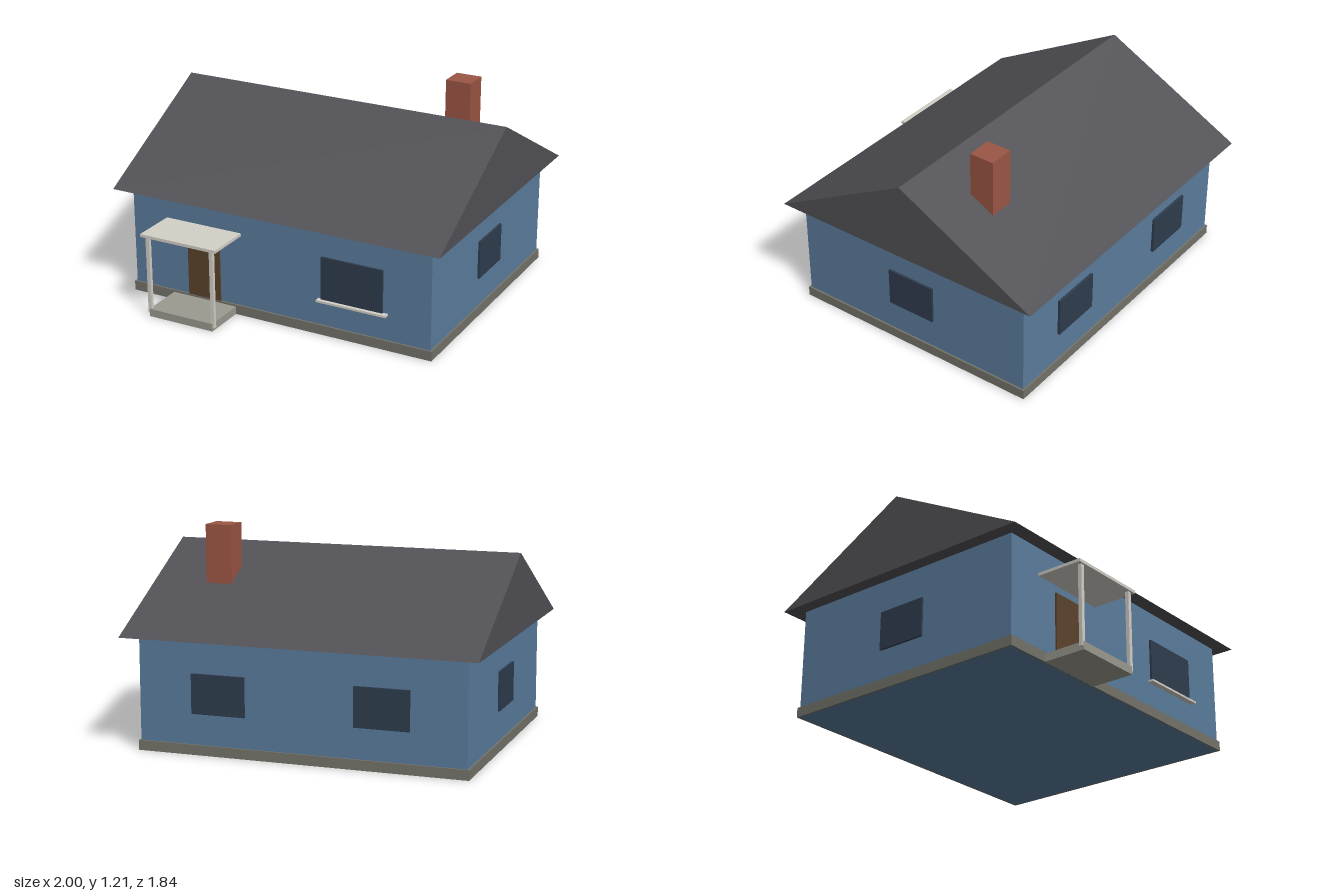
import * as THREE from 'three';

const mat = (name, color) => {
  const m = new THREE.MeshStandardMaterial({ color });
  m.name = name;
  return m;
};

export function createModel() {
  const house = new THREE.Group();
  house.name = 'house';

  const wallBlue = mat('wall blue', 0x5b7d9e);
  const roofGrey = mat('roof grey', 0x525156);
  const brick = mat('chimney brick', 0x9c5644);
  const stone = mat('foundation stone', 0x74736a);
  const concrete = mat('step concrete', 0x9c9a90);
  const trim = mat('trim cream', 0xd3d0c7);
  const wood = mat('door wood', 0x5b432b);
  const glass = mat('window glass', 0x2f3d4e);

  const add = (name, geometry, material) => {
    const mesh = new THREE.Mesh(geometry, material);
    mesh.name = name;
    house.add(mesh);
    return mesh;
  };
  // box given by its limits on each axis
  const box = (name, material, [x0, x1], [y0, y1], [z0, z1]) =>
    add(name, new THREE.BoxGeometry(x1 - x0, y1 - y0, z1 - z0), material)
      .position.set((x0 + x1) / 2, (y0 + y1) / 2, (z0 + z1) / 2);

  // walls
  const W = 0.923, BACK = -0.828, FRONT = 0.656;
  box('walls', wallBlue, [-W, W], [0, 0.64], [BACK, FRONT]);

  // foundation band: a thin ring around the foot of the walls
  const T = 0.011;
  const rect = (Type, x, z0, z1) => new Type([
    new THREE.Vector2(-x, -z1), new THREE.Vector2(x, -z1),
    new THREE.Vector2(x, -z0), new THREE.Vector2(-x, -z0),
  ]);
  const ring = rect(THREE.Shape, W + T, BACK - T, FRONT + T);
  ring.holes.push(rect(THREE.Path, W, BACK, FRONT));
  const band = new THREE.ExtrudeGeometry(ring, { depth: 0.056, bevelEnabled: false });
  add('foundation', band.rotateX(-Math.PI / 2), stone);

  // gable roof: a triangular prism along x
  const gable = new THREE.Shape([
    new THREE.Vector2(-0.742, 0.634),
    new THREE.Vector2(0.922, 0.634),
    new THREE.Vector2(0.09, 1.077),
  ]);
  const prism = new THREE.ExtrudeGeometry(gable, { depth: 2, bevelEnabled: false });
  prism.translate(0, 0, -1).rotateY(Math.PI / 2);
  add('roof', prism, roofGrey);

  // chimney
  box('chimney', brick, [0.538, 0.688], [0.75, 1.206], [-0.458, -0.312]);

  // door, front window and its sill
  box('door', wood, [-0.568, -0.362], [0.045, 0.428], [0.65, 0.665]);
  box('frontWindow', glass, [0.275, 0.643], [0.21, 0.46], [0.65, 0.668]);
  box('windowSill', trim, [0.255, 0.673], [0.2, 0.212], [0.65, 0.689]);

  // side and back windows
  const windowY = [0.228, 0.448];
  for (const s of [-1, 1]) {
    const outer = s * 0.935, inner = s * 0.915;
    box(s > 0 ? 'leftWindow' : 'rightWindow', glass,
      [Math.min(outer, inner), Math.max(outer, inner)], windowY, [-0.234, 0.06]);
    box(s > 0 ? 'backLeftWindow' : 'backRightWindow', glass,
      [s * 0.461 - 0.153, s * 0.461 + 0.153], windowY, [-0.843, -0.82]);
  }

  // porch: step, two posts and a flat canopy
  box('porchStep', concrete, [-0.668, -0.262], [0, 0.045], [0.66, 0.914]);
  for (const x of [-0.667, -0.262]) {
    box('porchPost', trim, [x - 0.011, x + 0.011], [0.02, 0.475], [0.89, 0.911]);
  }
  box('porchCanopy', trim, [-0.704, -0.226], [0.473, 0.49], [0.65, 0.922]);

  return house;
}
